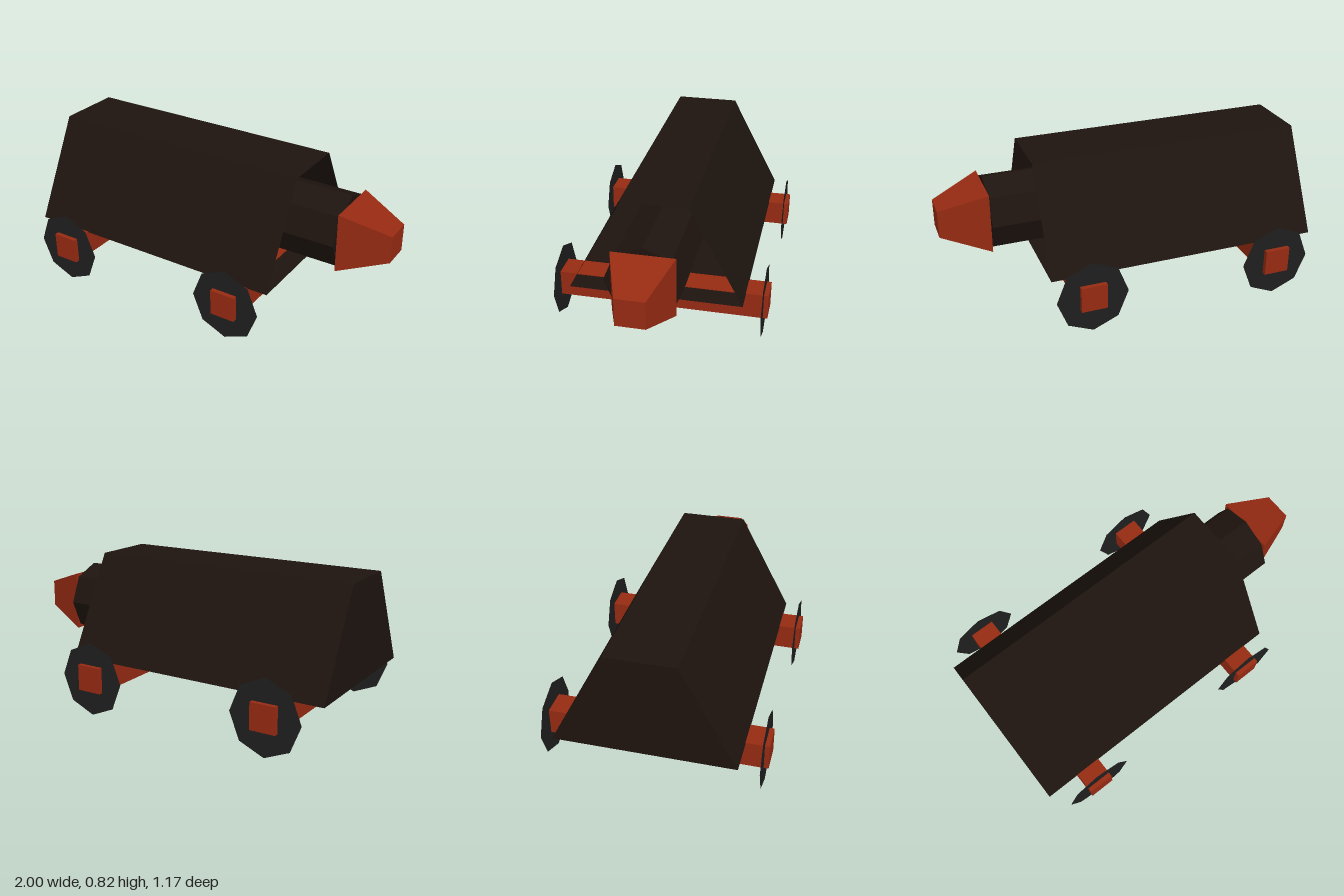
import * as THREE from 'three';

const paint = (color) => new THREE.MeshStandardMaterial({ color, flatShading: true, side: THREE.DoubleSide });

export function createModel() {
  const model = new THREE.Group();
  const dark = paint(0x1e140f);
  const rust = paint(0x962a12);
  const rubber = paint(0x1f1f1f);

  const add = (name, geometry, material, x, y, z) => {
    const mesh = new THREE.Mesh(geometry, material);
    mesh.name = name;
    mesh.position.set(x, y, z);
    model.add(mesh);
    return mesh;
  };

  // Scales the vertices on the far side of one axis to taper a box
  const taper = (geometry, axis, factors) => {
    const p = geometry.attributes.position;
    for (let i = 0; i < p.count; i++) {
      const v = new THREE.Vector3().fromBufferAttribute(p, i);
      if (v[axis] > 0) v.multiply(factors);
      p.setXYZ(i, v.x, v.y, v.z);
    }
    geometry.computeVertexNormals();
    return geometry;
  };

  // Hollow body with sloping sides; its +x end is open
  const shell = taper(new THREE.BoxGeometry(1.51, 0.54, 0.93), 'y', new THREE.Vector3(1, 1, 0.385));
  shell.setIndex(Array.from(shell.index.array).slice(6));
  add('body', shell, dark, -0.245, 0.55, 0);

  // Eight-sided neck reaching out of the open end
  const neck = new THREE.CylinderGeometry(0.204, 0.204, 0.54, 8);
  neck.rotateZ(Math.PI / 2);
  add('neck', neck, dark, 0.47, 0.505, 0);

  // Tapered square nose
  const nose = taper(new THREE.BoxGeometry(0.26, 0.33, 0.33), 'x', new THREE.Vector3(1, 0.46, 0.46));
  add('nose', nose, rust, 0.87, 0.505, 0);

  // Square axles with thin octagonal wheels just inside their ends
  for (const [end, x] of [['rear', -0.738], ['front', 0.318]]) {
    add(end + 'Axle', new THREE.BoxGeometry(0.14, 0.143, 1.17), rust, x, 0.2115, 0);
    for (const side of [-1, 1]) {
      const wheel = add(end + 'Wheel', new THREE.CircleGeometry(0.204, 8), rubber, x, 0.205, side * 0.56);
      wheel.scale.x = 0.955;
      if (side < 0) wheel.rotation.y = Math.PI;
    }
  }

  return model;
}
